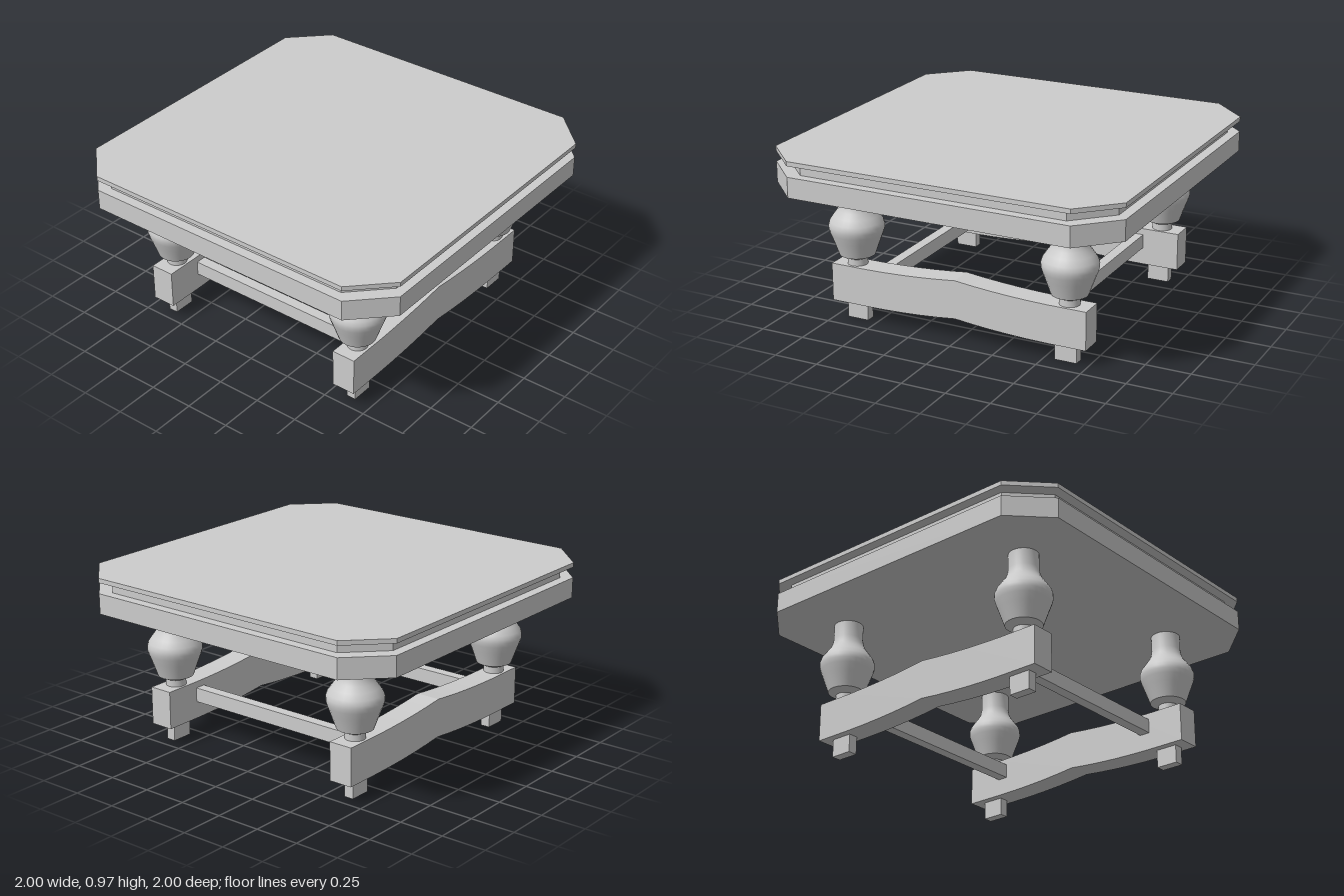
import * as THREE from 'three';
import { toCreasedNormals } from 'three/addons/utils/BufferGeometryUtils.js';

export function createModel() {
  const group = new THREE.Group();
  const grey = new THREE.MeshStandardMaterial({ color: 0xcccccc });
  grey.name = 'plain grey';

  const add = (name, geometry, x = 0, y = 0, z = 0) => {
    const mesh = new THREE.Mesh(geometry, grey);
    mesh.name = name;
    mesh.position.set(x, y, z);
    group.add(mesh);
    return mesh;
  };

  // Square slab with cut corners, from y0 to y1
  const slab = (name, half, inner, y0, y1) => {
    const corners = [
      [half, -inner], [half, inner], [inner, half], [-inner, half],
      [-half, inner], [-half, -inner], [-inner, -half], [inner, -half],
    ].map(([x, y]) => new THREE.Vector2(x, y));
    const geometry = new THREE.ExtrudeGeometry(new THREE.Shape(corners), { depth: y1 - y0, bevelEnabled: false });
    geometry.rotateX(-Math.PI / 2);
    add(name, geometry, 0, y0, 0);
  };
  slab('apron', 1, 0.8, 0.772, 0.885);
  slab('recessedBand', 0.945, 0.755, 0.885, 0.945);
  slab('tableTop', 1, 0.8, 0.945, 0.97);

  // Turned leg profile, bottom to top
  const profile = [
    [0.055, 0.305], [0.055, 0.35], [0.098, 0.37], [0.112, 0.41], [0.128, 0.455], [0.143, 0.495],
    [0.15, 0.52], [0.15, 0.54], [0.143, 0.562], [0.122, 0.593], [0.1, 0.623],
    [0.087, 0.65], [0.08, 0.685], [0.08, 0.775],
  ].map(([r, y]) => new THREE.Vector2(r, y));
  const legGeometry = toCreasedNormals(new THREE.LatheGeometry(profile, 28), 0.6);

  // Floor beam: straight ends, gently rising to a ridge in the middle
  const beam = new THREE.Shape();
  beam.moveTo(-0.75, 0.1);
  beam.lineTo(-0.53, 0.1);
  beam.quadraticCurveTo(-0.25, 0.102, 0, 0.132);
  beam.quadraticCurveTo(0.25, 0.102, 0.53, 0.1);
  beam.lineTo(0.75, 0.1);
  beam.lineTo(0.75, 0.313);
  beam.lineTo(0.53, 0.313);
  beam.quadraticCurveTo(0.25, 0.317, 0, 0.347);
  beam.quadraticCurveTo(-0.25, 0.317, -0.53, 0.313);
  beam.lineTo(-0.75, 0.313);
  const beamGeometry = new THREE.ExtrudeGeometry(beam, { depth: 0.135, bevelEnabled: false, curveSegments: 5 });
  beamGeometry.translate(0, 0, -0.0675);

  const footGeometry = new THREE.BoxGeometry(0.124, 0.1, 0.054);
  const railGeometry = new THREE.BoxGeometry(0.06, 0.08, 1.112);

  for (const sz of [1, -1]) {
    const end = sz > 0 ? 'front' : 'back';
    add(end + 'Beam', beamGeometry, 0, 0, sz * 0.621);
    for (const sx of [1, -1]) {
      const side = sx > 0 ? 'Left' : 'Right';
      add(end + side + 'Leg', legGeometry, sx * 0.628, 0, sz * 0.62);
      add(end + side + 'Foot', footGeometry, sx * 0.62, 0.05, sz * 0.621);
    }
  }

  // Rails joining the two beams
  add('leftRail', railGeometry, 0.51, 0.237, 0);
  add('rightRail', railGeometry, -0.51, 0.237, 0);

  return group;
}
